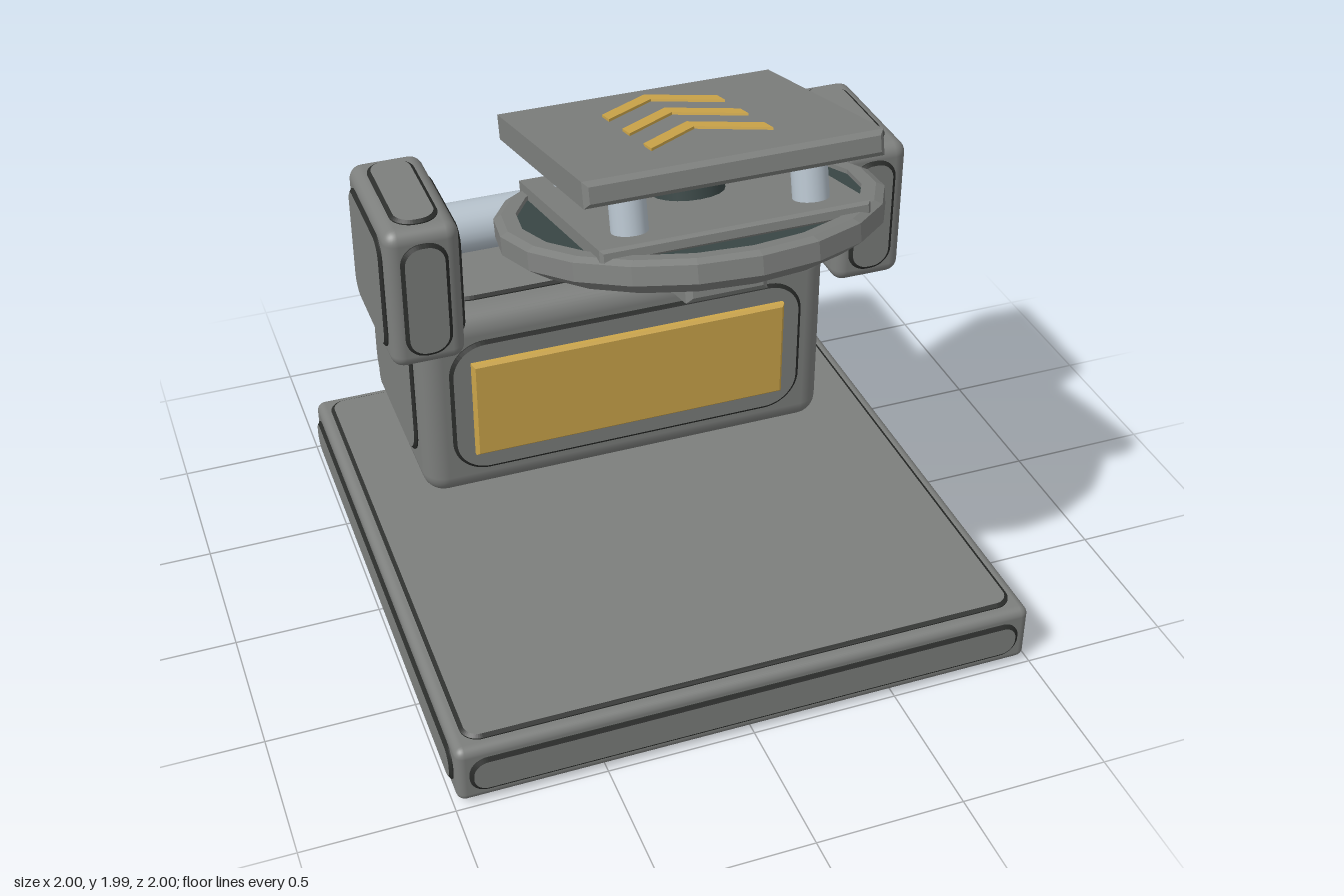
import * as THREE from 'three';
import { RoundedBoxGeometry } from 'three/addons/geometries/RoundedBoxGeometry.js';

const material = (name, color) => {
  const m = new THREE.MeshStandardMaterial({ color });
  m.name = name;
  return m;
};

export function createModel() {
  const gray = material('metal gray', 0x7d7f7d);
  const trim = material('dark trim', 0x2b2d2b);
  const teal = material('dark teal', 0x3a4746);
  const steel = material('pale steel', 0xb6c2cc);
  const gold = material('gold', 0xcda64a);
  const model = new THREE.Group();
  model.name = 'launchPad';

  function add(parent, name, geometry, mat, x = 0, y = 0, z = 0) {
    const mesh = new THREE.Mesh(geometry, mat);
    mesh.name = name;
    mesh.position.set(x, y, z);
    parent.add(mesh);
    return mesh;
  }

  function roundedRect(w, h, r) {
    const s = new THREE.Shape(), a = w / 2, b = h / 2, q = Math.PI / 2;
    s.absarc(a - r, b - r, r, 0, q);
    s.absarc(r - a, b - r, r, q, 2 * q);
    s.absarc(r - a, r - b, r, 2 * q, 3 * q);
    s.absarc(a - r, r - b, r, 3 * q, 4 * q);
    return s;
  }

  // Box with chamfered edges, centred on its origin
  function chamferBox(w, h, d, c) {
    const a = w / 2 - c, b = h / 2 - c;
    const s = new THREE.Shape([[-a, -b], [a, -b], [a, b], [-a, b]].map(p => new THREE.Vector2(...p)));
    const g = new THREE.ExtrudeGeometry(s, {
      depth: d - 2 * c, bevelEnabled: true, bevelSize: c, bevelThickness: c, bevelSegments: 1,
    });
    return g.translate(0, 0, c - d / 2);
  }

  // Rounded block with a raised, dark-edged panel on each of its six sides
  function panelBlock(name, [w, h, d], radius, margin, panelRadius, [x, y, z]) {
    const block = new THREE.Group();
    block.name = name;
    block.position.set(x, y, z);
    model.add(block);
    add(block, name + 'Core', new RoundedBoxGeometry(w, h, d, 4, radius), gray);
    const q = Math.PI / 2;
    const sides = [
      ['front', w, h, d, 0, 0], ['back', w, h, d, 0, 2 * q],
      ['left', d, h, w, 0, q], ['right', d, h, w, 0, -q],
      ['top', w, d, h, -q, 0], ['bottom', w, d, h, q, 0],
    ];
    for (const [side, pw, ph, depth, rx, ry] of sides) {
      const edge = 0.012;
      const shape = roundedRect(pw - 2 * (margin + edge), ph - 2 * (margin + edge), panelRadius - edge);
      const g = new THREE.ExtrudeGeometry(shape, {
        depth: 0.01, bevelEnabled: true, bevelSize: edge, bevelThickness: 0.008, bevelSegments: 1, curveSegments: 6,
      });
      g.translate(0, 0, depth / 2 - 0.006);
      const panel = add(block, side + 'Panel', g, [gray, trim]);
      panel.rotation.set(rx, ry, 0);
    }
  }

  panelBlock('base', [1.976, 0.212, 1.976], 0.03, 0.04, 0.06, [0, 0.118, 0]);
  panelBlock('body', [1.5, 0.735, 0.77], 0.08, 0.1, 0.13, [0, 0.62, -0.595]);
  for (const s of [1, -1]) {
    panelBlock(s > 0 ? 'leftSupport' : 'rightSupport', [0.245, 0.505, 0.51], 0.045, 0.045, 0.07, [s * 0.77, 1.272, -0.19]);
  }

  add(model, 'frontPlate', chamferBox(1.15, 0.38, 0.04, 0.01), gold, 0, 0.622, -0.193);

  // Axle between the supports
  const axle = add(model, 'axle', new THREE.CylinderGeometry(0.085, 0.085, 1.32, 24), steel, 0, 1.355, -0.195);
  axle.rotation.z = Math.PI / 2;

  // Tilted head; its origin is the centre of the dish's top
  const head = new THREE.Group();
  head.name = 'tiltedHead';
  head.position.set(0, 1.645, 0.35);
  head.rotation.x = -0.245;
  model.add(head);

  add(head, 'arm', chamferBox(0.26, 0.16, 0.895, 0.018), gray, 0, -0.15, -0.15);

  const profile = [[0.53, -0.115], [0.6, -0.07], [0.6, -0.012], [0.575, 0], [0.53, 0], [0.53, -0.02]];
  const rim = new THREE.LatheGeometry(profile.map(p => new THREE.Vector2(...p)), 20).toNonIndexed();
  rim.computeVertexNormals();
  add(head, 'dishRim', rim, gray);
  add(head, 'dishCore', new THREE.CylinderGeometry(0.53, 0.53, 0.1, 20), teal, 0, -0.065, 0);

  add(head, 'lowerPlate', chamferBox(0.84, 0.045, 0.84, 0.01), gray, 0, 0.005, 0);
  add(head, 'hub', new THREE.CylinderGeometry(0.115, 0.115, 0.15, 20), teal, 0, 0.09, 0);
  for (const x of [-0.285, 0.285]) {
    for (const z of [-0.285, 0.285]) {
      add(head, 'post', new THREE.CylinderGeometry(0.056, 0.056, 0.16, 20), steel, x, 0.095, z);
    }
  }
  add(head, 'upperPlate', chamferBox(0.92, 0.08, 0.905, 0.015), gray, 0, 0.204, 0);

  // Raised chevrons pointing to the back
  const chevron = new THREE.Shape([[0, 0], [-0.19, -0.155], [-0.19, -0.222], [0, -0.067], [0.19, -0.222], [0.19, -0.155]]
    .map(p => new THREE.Vector2(...p)));
  for (let i = 0; i < 3; i++) {
    const g = new THREE.ExtrudeGeometry(chevron, { depth: 0.009, bevelEnabled: false });
    const mesh = add(head, 'chevron', g, gold, 0, 0.243, -0.353 + i * 0.195);
    mesh.rotation.x = -Math.PI / 2;
  }

  return model;
}
